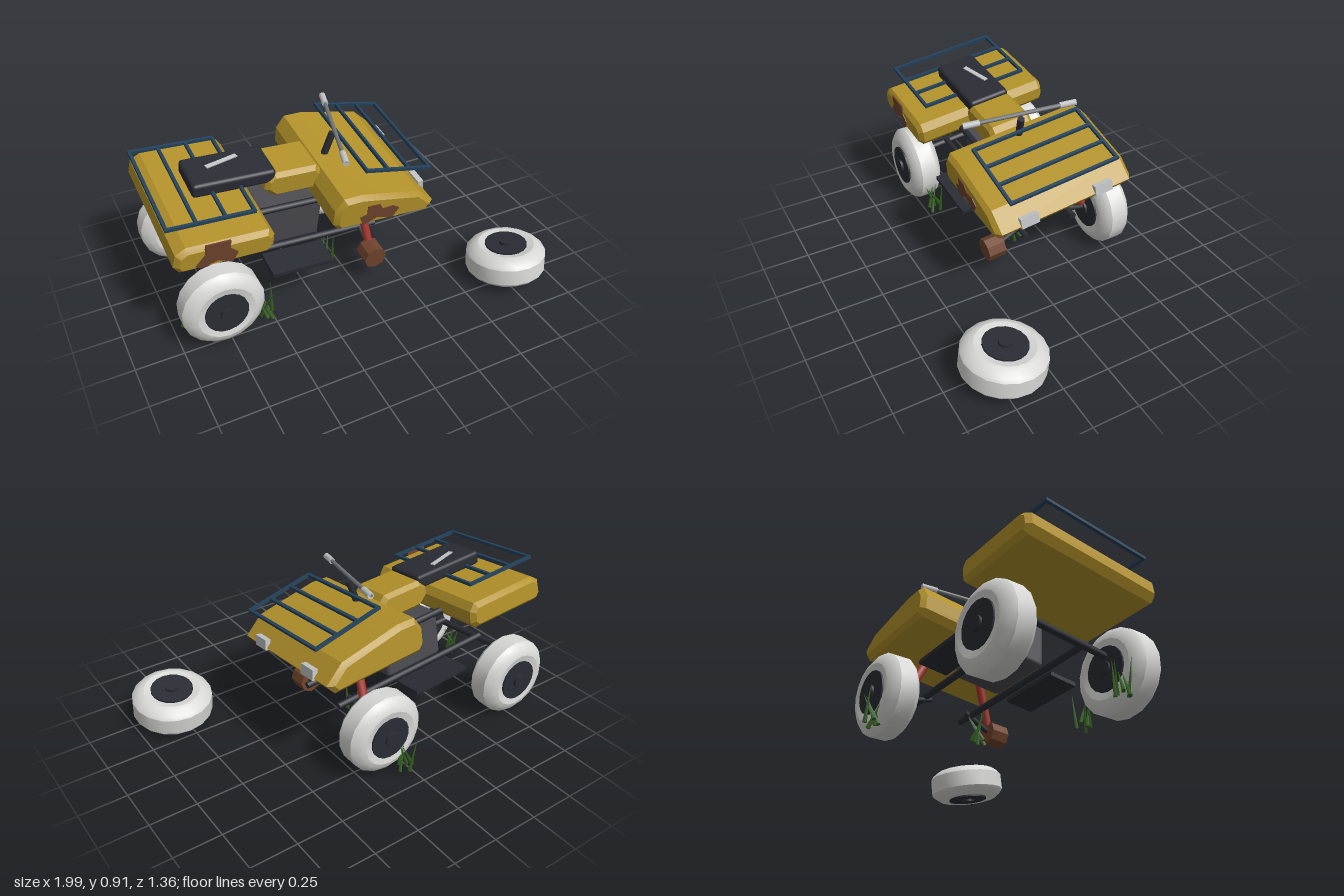
import * as THREE from 'three';
import { toCreasedNormals } from 'three/addons/utils/BufferGeometryUtils.js';
import { RoundedBoxGeometry } from 'three/addons/geometries/RoundedBoxGeometry.js';

const mat = (name, color) => new THREE.MeshStandardMaterial({ name, color });
const V = (x, y, z) => new THREE.Vector3(x, y, z);

export function createModel() {
  const yellow = mat('yellow paint', 0xb3922a);
  const tyreWhite = mat('pale tyre', 0xd8d8d6);
  const black = mat('black', 0x2a2c34);
  const engineGrey = mat('engine grey', 0x4a4a4f);
  const rust = mat('rust', 0x6f432c);
  const red = mat('red', 0xa5352d);
  const navy = mat('navy', 0x24425c);
  const steel = mat('steel', 0x74767a);
  const pale = mat('pale grey', 0xc4c5c6);
  const green = mat('grass green', 0x33601f);

  const model = new THREE.Group();
  model.name = 'abandonedQuadBike';

  const add = (parent, name, geo, material, x = 0, y = 0, z = 0) => {
    const m = new THREE.Mesh(geo, material);
    m.name = name;
    m.position.set(x, y, z);
    parent.add(m);
    return m;
  };
  // Round bar between two points
  const bar = (parent, name, a, b, r, material, r2 = r, sides = 8) => {
    const d = b.clone().sub(a);
    const m = add(parent, name, new THREE.CylinderGeometry(r2, r, d.length(), sides), material);
    m.position.copy(a).addScaledVector(d, 0.5);
    m.quaternion.setFromUnitVectors(V(0, 1, 0), d.normalize());
    return m;
  };
  const shapeOf = (pts) => new THREE.Shape(pts.map((p) => new THREE.Vector2(p[0], p[1])));
  // Side profile extruded across the width with bevelled ends
  const slab = (name, pts, halfWidth, bevel, material) => {
    const g = new THREE.ExtrudeGeometry(shapeOf(pts), {
      depth: 2 * (halfWidth - bevel), bevelEnabled: true, bevelSegments: 1,
      bevelSize: bevel, bevelThickness: bevel, bevelOffset: -bevel,
    });
    g.translate(0, 0, bevel - halfWidth);
    return add(body, name, toCreasedNormals(g, 0.45), material);
  };

  // Sagging body: rolled to the left and nose down
  const body = new THREE.Group();
  body.name = 'body';
  body.position.set(-0.3, 0.5, -0.125);
  body.rotation.set(0.115, 0, -0.08);
  model.add(body);

  slab('frontFender', [[0.12, 0.085], [0.15, 0.05], [0.66, 0.045], [0.7, 0.1], [0.6, 0.185],
    [0.26, 0.245], [0.16, 0.24], [0.12, 0.17]], 0.395, 0.024, yellow);
  slab('rearFender', [[-0.7, 0.06], [-0.67, 0.02], [-0.23, 0.025], [-0.2, 0.06],
    [-0.2, 0.125], [-0.23, 0.165], [-0.64, 0.165], [-0.69, 0.13]], 0.395, 0.024, yellow);
  slab('fuelTank', [[-0.145, 0.17], [-0.09, 0.12], [0.13, 0.12], [0.17, 0.15],
    [0.17, 0.22], [0.13, 0.265], [-0.1, 0.265], [-0.14, 0.23]], 0.125, 0.022, yellow);

  // Seat with a torn strip
  add(body, 'seat', new RoundedBoxGeometry(0.43, 0.075, 0.23, 2, 0.018), black, -0.305, 0.25, 0);
  const tear = add(body, 'seatTear', new THREE.BoxGeometry(0.18, 0.006, 0.024), pale, -0.325, 0.29, -0.035);
  tear.rotation.y = 0.26;

  add(body, 'engine', new RoundedBoxGeometry(0.36, 0.26, 0.27, 1, 0.02), engineGrey, 0, -0.065, 0);

  // Frame rails, footboards and headlights on both sides
  for (const s of [-1, 1]) {
    bar(body, 'lowerRail', V(-0.46, -0.2, s * 0.145), V(0.52, -0.2, s * 0.145), 0.018, black);
    bar(body, 'upperRail', V(-0.5, 0.06, s * 0.14), V(0.4, 0.06, s * 0.14), 0.018, black);
    add(body, 'footboard', new THREE.BoxGeometry(0.34, 0.022, 0.16), black, 0, -0.2, s * 0.27);
    const lamp = add(body, 'headlight', new THREE.BoxGeometry(0.03, 0.055, 0.1), pale, 0.69, 0.115, s * 0.215);
    lamp.rotation.z = 0.2;
  }
  bar(body, 'rearAxle', V(-0.46, -0.215, -0.32), V(-0.46, -0.215, 0.32), 0.018, black);

  // Luggage racks: a rectangular frame with cross slats
  const rack = (name, x, y, length, tilt) => {
    const g = new THREE.Group();
    g.name = name;
    g.position.set(x, y, 0);
    g.rotation.z = tilt;
    body.add(g);
    for (let i = 0; i < 4; i++) {
      add(g, 'slat', new THREE.BoxGeometry(0.016, 0.016, 0.62), navy, length * (i / 3 - 0.5), 0, 0);
    }
    for (const s of [-1, 1]) {
      add(g, 'sideRail', new THREE.BoxGeometry(length + 0.016, 0.016, 0.016), navy, 0, 0, s * 0.302);
    }
  };
  rack('frontRack', 0.497, 0.298, 0.38, -0.17);
  rack('rearRack', -0.493, 0.233, 0.43, 0);

  // Rust patches on the left side
  const patch = (name, pts) => add(body, name,
    new THREE.ExtrudeGeometry(shapeOf(pts), { depth: 0.008, bevelEnabled: false }), rust, 0, 0, 0.391);
  patch('rearRustPatch', [[-0.6, 0.055], [-0.575, 0.04], [-0.49, 0.065], [-0.415, 0.035],
    [-0.39, 0.09], [-0.43, 0.125], [-0.43, 0.175], [-0.555, 0.175], [-0.555, 0.115]]);
  patch('frontRustPatch', [[0.255, 0.115], [0.28, 0.06], [0.355, 0.095], [0.445, 0.068],
    [0.48, 0.125], [0.44, 0.15], [0.38, 0.145], [0.36, 0.18], [0.29, 0.18], [0.295, 0.13]]);

  // Turned handlebar and its column
  const left = V(-0.08, 0.845, 0.21), right = V(0.065, 0.9, -0.367);
  bar(model, 'steeringColumn', V(-0.06, 0.7, -0.1), V(-0.01, 0.84, -0.087), 0.019, black);
  bar(model, 'handlebar', left, right, 0.011, steel);
  bar(model, 'leftGrip', left, left.clone().lerp(right, 0.145), 0.017, pale);
  bar(model, 'rightGrip', right, right.clone().lerp(left, 0.145), 0.017, pale);

  // Front suspension and the bare left hub
  bar(model, 'leftStrut', V(0.08, 0.52, 0.01), V(0.11, 0.22, 0.105), 0.023, red);
  bar(model, 'rightStrut', V(0.08, 0.54, -0.27), V(0.11, 0.27, -0.41), 0.023, red);
  bar(model, 'leftArm', V(0.11, 0.26, -0.04), V(0.11, 0.17, 0.14), 0.015, black);
  bar(model, 'rightArm', V(0.11, 0.28, -0.26), V(0.11, 0.23, -0.46), 0.015, black);
  const hub = add(model, 'bareHub', toCreasedNormals(new THREE.CylinderGeometry(0.064, 0.064, 0.1, 8), 0.3),
    rust, 0.107, 0.173, 0.147);
  hub.rotation.x = Math.PI / 2 + 0.08;

  // Wheels: chunky tyre, rim disc and axle cap
  const half = [[0.1, 0.08], [0.15, 0.09], [0.172, 0.084], [0.204, 0.06], [0.215, 0.045]];
  const profile = [...half.map(([r, y]) => new THREE.Vector2(r, -y)),
    ...half.slice().reverse().map(([r, y]) => new THREE.Vector2(r, y))];
  const tyreGeo = toCreasedNormals(new THREE.LatheGeometry(profile, 18), 0.45);
  const wheel = (name, x, y, z, tilt) => {
    const g = new THREE.Group();
    g.name = name;
    g.position.set(x, y, z);
    g.rotation.x = tilt;
    add(g, 'tyre', tyreGeo, tyreWhite);
    add(g, 'rim', new THREE.CylinderGeometry(0.113, 0.113, 0.184, 18), black);
    add(g, 'axleCap', new THREE.CylinderGeometry(0.037, 0.037, 0.212, 10), black);
    model.add(g);
  };
  wheel('rearLeftWheel', -0.773, 0.228, 0.21, Math.PI / 2);
  wheel('rearRightWheel', -0.773, 0.228, -0.52, Math.PI / 2);
  wheel('frontRightWheel', 0.11, 0.23, -0.52, Math.PI / 2);
  wheel('looseWheel', 0.783, 0.118, 0.45, -0.13);

  // Grass tufts
  const tufts = [[0.03, -0.64], [-0.53, 0.2], [-0.06, -0.08], [-0.92, 0.07]];
  tufts.forEach(([x, z], t) => {
    const g = new THREE.Group();
    g.name = 'grassTuft';
    model.add(g);
    for (let i = 0; i < 5; i++) {
      const a = i * 2.4 + t;
      const base = V(x + 0.035 * Math.cos(a), 0.02 + 0.006 * i, z + 0.035 * Math.sin(a));
      const tip = V(x + 0.05 * Math.cos(a * 1.7 + 2), 0.17 + 0.02 * (i % 3), z + 0.05 * Math.sin(a * 1.7 + 2));
      bar(g, 'blade', base, tip, 0.012, green, 0.001, 4);
    }
  });

  return model;
}
